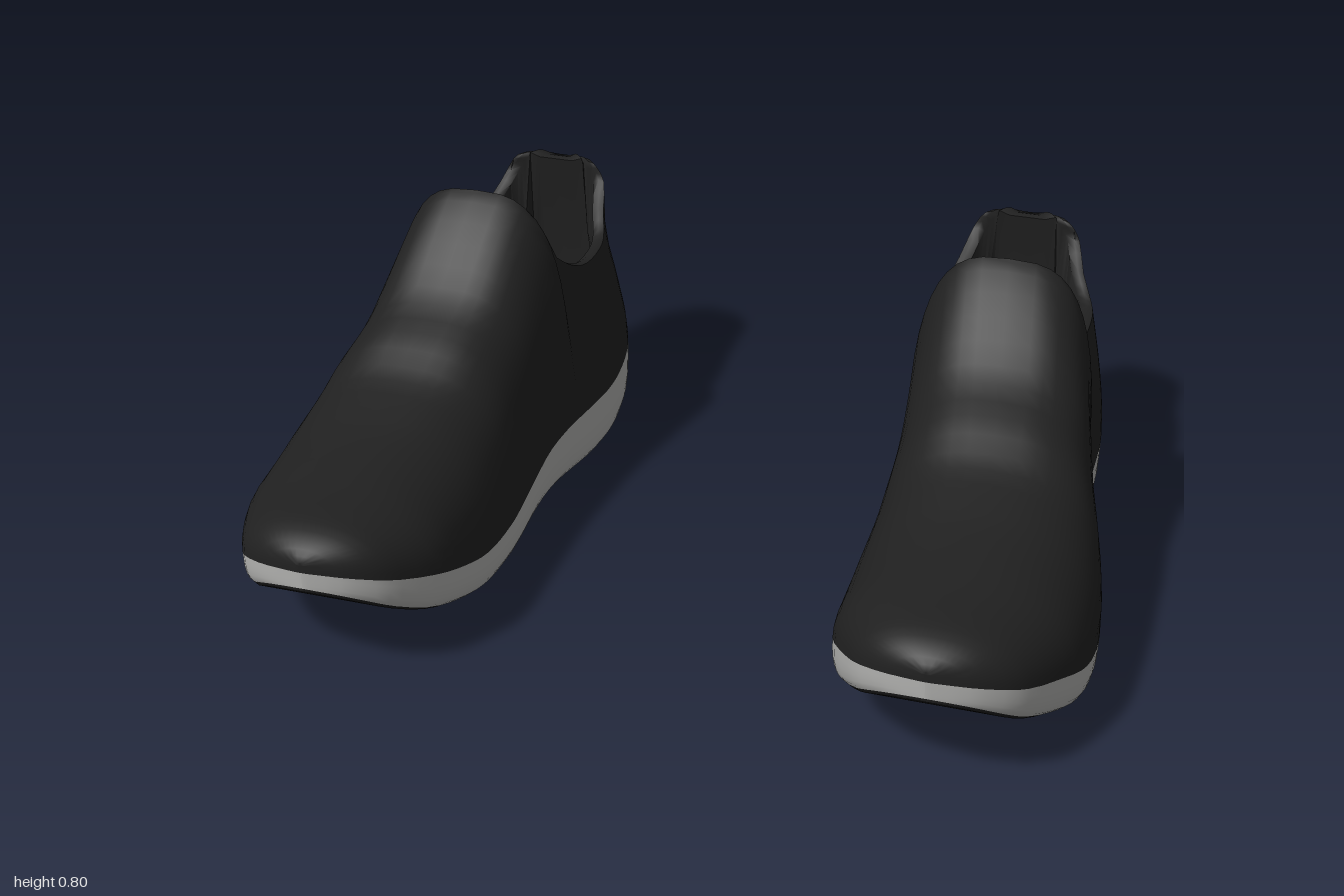
import * as THREE from 'three';
import { mergeGeometries, toCreasedNormals } from 'three/addons/utils/BufferGeometryUtils.js';

const mat = (name, color, side = THREE.FrontSide) => new THREE.MeshStandardMaterial({ name, color, side });

// Smooth curve through [position, value] pairs sorted by rising position
function curve(pts) {
  const n = pts.length;
  const slope = (i) => {
    const a = pts[Math.max(i - 1, 0)], b = pts[Math.min(i + 1, n - 1)];
    return (b[1] - a[1]) / (b[0] - a[0]);
  };
  return (s) => {
    if (s <= pts[0][0]) return pts[0][1];
    if (s >= pts[n - 1][0]) return pts[n - 1][1];
    let i = 0;
    while (s > pts[i + 1][0]) i++;
    const h = pts[i + 1][0] - pts[i][0], t = (s - pts[i][0]) / h, u = 1 - t;
    return u * u * (1 + 2 * t) * pts[i][1] + t * t * (3 - 2 * t) * pts[i + 1][1]
      + h * t * u * (u * slope(i) - t * slope(i + 1));
  };
}

// Footprint edges
const innerX = curve([[-0.81, 0.6], [-0.8, 0.55], [-0.78, 0.515], [-0.75, 0.48], [-0.7, 0.447], [-0.6, 0.41], [-0.5, 0.397],
  [-0.4, 0.4], [-0.2, 0.438], [0, 0.45], [0.35, 0.434], [0.5, 0.44], [0.6, 0.455], [0.7, 0.51], [0.75, 0.55], [0.79, 0.615], [0.81, 0.69]]);
const outerX = curve([[-0.81, 0.65], [-0.8, 0.7], [-0.78, 0.738], [-0.75, 0.775], [-0.7, 0.81], [-0.6, 0.86], [-0.5, 0.88],
  [-0.2, 0.885], [0, 0.93], [0.2, 0.985], [0.35, 0.998], [0.5, 0.985], [0.6, 0.95], [0.7, 0.9], [0.75, 0.857], [0.79, 0.79], [0.81, 0.71]]);
// Underside, top of the midsole, top of the upper, lining floor
const bottomY = curve([[-0.81, 0.115], [-0.77, 0.085], [-0.7, 0.06], [-0.6, 0.035], [-0.5, 0.018], [-0.4, 0.009], [-0.3, 0.006],
  [-0.1, 0.018], [0, 0.014], [0.1, 0.006], [0.2, 0.012], [0.4, 0.053], [0.6, 0.135], [0.7, 0.193], [0.81, 0.28]]);
const bandY = curve([[-0.81, 0.252], [-0.7, 0.225], [-0.5, 0.187], [-0.3, 0.171], [-0.1, 0.163], [0, 0.145], [0.1, 0.132],
  [0.2, 0.13], [0.4, 0.165], [0.6, 0.24], [0.7, 0.277], [0.81, 0.33]]);
const crestY = curve([[-0.225, 0.79], [-0.21, 0.805], [-0.15, 0.76], [-0.1, 0.71], [0, 0.61], [0.12, 0.55], [0.2, 0.5],
  [0.3, 0.47], [0.4, 0.447], [0.6, 0.42], [0.72, 0.41], [0.78, 0.388], [0.81, 0.355]]);
const collarY = curve([[-0.81, 0.67], [-0.79, 0.69], [-0.765, 0.69], [-0.73, 0.655], [-0.68, 0.6], [-0.62, 0.56], [-0.56, 0.543],
  [-0.5, 0.54], [-0.39, 0.545], [-0.32, 0.575], [-0.255, 0.625]]);
const floorY = curve([[-0.75, 0.32], [-0.72, 0.27], [-0.6, 0.25], [-0.36, 0.25], [-0.3, 0.31], [-0.255, 0.45]]);
// Forward lean of the heel by height
const leanZ = curve([[0.25, 0], [0.33, 0.03], [0.42, 0.06], [0.5, 0.085], [0.59, 0.08], [0.63, 0.052], [0.655, 0.055], [0.69, 0.085]]);

const centre = (s) => (innerX(s) + outerX(s)) / 2;
const half = (s) => (Math.abs(s) >= 0.81 ? 0 : (outerX(s) - innerX(s)) / 2);

// Stations from toe to heel
const stations = [0.81, 0.809, 0.8, 0.79, 0.775, 0.75, 0.725];
for (let s = 0.7; s > -0.19; s -= 0.04) stations.push(s);
stations.push(-0.2, -0.21, -0.225, -0.255);
for (let s = -0.28; s > -0.69; s -= 0.03) stations.push(s);
stations.push(-0.7, -0.72, -0.735, -0.75, -0.765, -0.78, -0.79, -0.8, -0.809, -0.81);

const K = 12;
// Half section of the upper: [fraction of x, y] from midsole edge to centre line
function upperPoint(s, k) {
  const hw = half(s), yb = bandY(s);
  if (s > -0.23) {
    const a = (k / K) * Math.PI / 2;
    const n = 2.2 + THREE.MathUtils.smoothstep(-s, -0.5, 0.2);
    return [hw * Math.max(Math.cos(a), 0) ** (2 / n), yb + (crestY(s) - yb) * Math.sin(a) ** (2 / n)];
  }
  const yc = collarY(s), top = hw * 0.8, lining = Math.max(top - 0.03, top * 0.6);
  if (k <= 6) {
    const f = k / 6;
    return [hw * (1 - 0.2 * f ** 1.5), yb + (yc - yb) * f];
  }
  const fl = s < -0.76 ? yc : floorY(s);
  return [
    [(top + lining) / 2, yc + 0.004], [lining, yc - 0.005], [lining * 0.99, (yc + fl) / 2],
    [lining * 0.95, fl + 0.01], [lining * 0.6, fl], [0, fl],
  ][k - 7];
}

function upperSection(s) {
  const row = [];
  const w = THREE.MathUtils.smoothstep(-s, 0.42, 0.78);
  for (let j = 0; j <= 2 * K; j++) {
    const [x, y] = upperPoint(s, j <= K ? j : 2 * K - j);
    row.push([centre(s) + (j < K ? -x : x), y, s + w * leanZ(y)]);
  }
  return row;
}

// Midsole side wall from top edge to ground edge
function wallSection(s, sign) {
  const t = bandY(s), b = bottomY(s) + 0.008, hw = half(s);
  return [[1, 0], [1, 0.25], [0.995, 0.5], [0.975, 0.75], [0.945, 0.9], [0.9, 1]]
    .map(([f, v]) => [centre(s) + sign * hw * f, t + (b - t) * v, s]);
}

function outsoleSection(s) {
  return [0.9, 0.84, 0.4, 0, -0.4, -0.84, -0.9]
    .map((f) => [centre(s) + f * half(s), bottomY(s) + (Math.abs(f) === 0.9 ? 0.008 : 0), s]);
}

// Skin a list of sections; side = -1 mirrors the result
function loft(rows, side, crease) {
  const cols = rows[0].length, pos = [], index = [];
  rows.forEach((r) => r.forEach(([x, y, z]) => pos.push(x * side, y, z)));
  for (let i = 0; i < rows.length - 1; i++) {
    for (let j = 0; j < cols - 1; j++) {
      const a = i * cols + j, b = a + cols, c = a + 1, d = b + 1;
      if (side > 0) index.push(a, c, b, c, d, b);
      else index.push(a, b, c, c, b, d);
    }
  }
  const g = new THREE.BufferGeometry();
  g.setAttribute('position', new THREE.Float32BufferAttribute(pos, 3));
  g.setIndex(index);
  g.computeVertexNormals();
  return crease ? toCreasedNormals(g, crease) : g;
}

// Flat shape laid on the underside, facing down
function soleInlay(shape, x, z) {
  const g = new THREE.ShapeGeometry(shape, 5).rotateX(Math.PI / 2).translate(x, 0, z);
  const p = g.attributes.position;
  for (let i = 0; i < p.count; i++) p.setY(i, bottomY(p.getZ(i)) - 0.004);
  g.computeVertexNormals();
  return g;
}

const dot = (rx, rz) => new THREE.Shape().absellipse(0, 0, rx, rz, 0, Math.PI * 2);
const octagon = (w, h) => [[-w, -h * 0.6], [-w * 0.5, -h], [w * 0.5, -h], [w, -h * 0.6], [w, h * 0.6], [w * 0.5, h], [-w * 0.5, h], [-w, h * 0.6]]
  .map(([x, y]) => new THREE.Vector2(x, y));

function treadInlays(side) {
  const parts = [];
  const add = (shape, u, z) => parts.push(soleInlay(shape, side * (centre(z) + u * half(z)), z));
  // Arch ring
  const ring = new THREE.Shape(octagon(0.085, 0.15));
  ring.holes.push(new THREE.Path(octagon(0.04, 0.095)));
  add(ring, 0, -0.1);
  // Heel dots
  [[0, -0.7], [-0.35, -0.6], [0.35, -0.6], [0, -0.53], [-0.5, -0.46], [0.5, -0.46], [-0.2, -0.38], [0.25, -0.36], [-0.55, -0.3], [0.55, -0.3]]
    .forEach(([u, z], i) => add(dot(i < 4 ? 0.03 : 0.02, i < 4 ? 0.032 : 0.022), u, z));
  // Forefoot dashes
  for (let r = 0; r < 8; r++) {
    const z = 0.11 + r * 0.07;
    [-0.7, -0.38, 0, 0.38, 0.7].forEach((u, c) => {
      if ((r + c) % 2 === 0 || Math.abs(u) === 0.38) add(dot(Math.abs(u) === 0.38 ? 0.024 : 0.016, 0.014), u + (r % 2 ? 0.06 : -0.04), z);
    });
  }
  return mergeGeometries(parts);
}

export function createModel() {
  const fabric = mat('black fabric', 0x202020, THREE.DoubleSide);
  const foam = mat('grey foam', 0xb0b0ae);
  const rubber = mat('black rubber', 0x1c1c1c);

  const model = new THREE.Group();
  model.name = 'pairOfShoes';
  for (const side of [1, -1]) {
    const shoe = new THREE.Group();
    shoe.name = side > 0 ? 'leftShoe' : 'rightShoe';
    const add = (name, geometry, material) => {
      const mesh = new THREE.Mesh(geometry, material);
      mesh.name = name;
      shoe.add(mesh);
    };
    add('upper', loft(stations.map(upperSection), side, 1.0), fabric);
    add('midsoleOuterWall', loft(stations.map((s) => wallSection(s, 1)), side), foam);
    add('midsoleInnerWall', loft(stations.map((s) => wallSection(s, -1).reverse()), side), foam);
    add('outsole', loft(stations.map(outsoleSection), side), rubber);
    add('treadInlays', treadInlays(side), foam);
    model.add(shoe);
  }
  return model;
}
